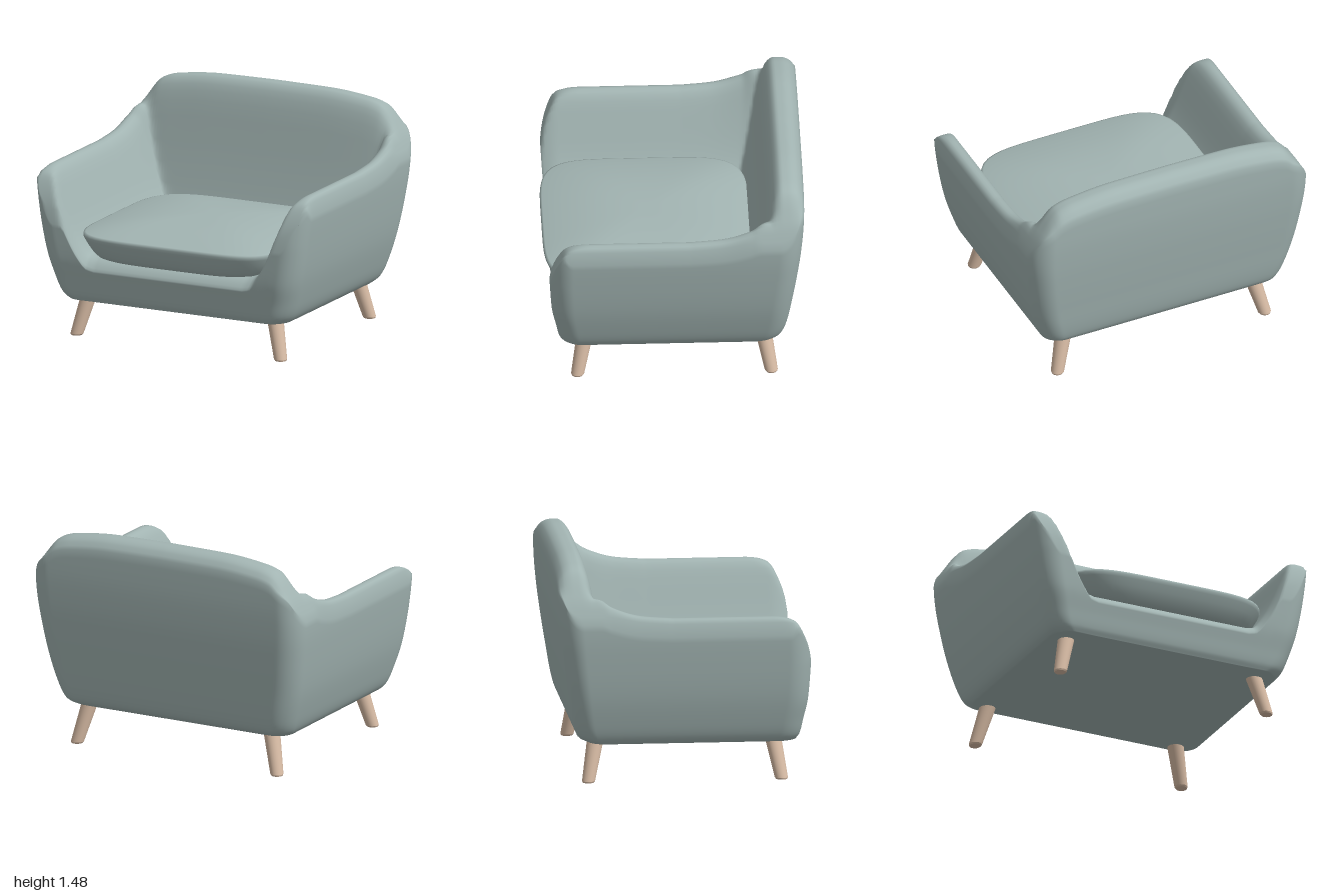
import * as THREE from 'three';
import { mergeVertices } from 'three/addons/utils/BufferGeometryUtils.js';

const clamp = THREE.MathUtils.clamp;

// Smooth curve through [input, value] pairs, constant beyond both ends
function curve(...p) {
  const slope = (i) => {
    if (i === 0 || i === p.length - 1) return 0;
    const a = (p[i][1] - p[i - 1][1]) / (p[i][0] - p[i - 1][0]);
    const b = (p[i + 1][1] - p[i][1]) / (p[i + 1][0] - p[i][0]);
    return a * b <= 0 ? 0 : (2 * a * b) / (a + b);
  };
  const m = p.map((_, i) => slope(i));
  const n = p.length - 1;
  m[0] = (p[1][1] - p[0][1]) / (p[1][0] - p[0][0]);
  m[n] = (p[n][1] - p[n - 1][1]) / (p[n][0] - p[n - 1][0]);
  return (x) => {
    if (x <= p[0][0]) return p[0][1];
    if (x >= p[n][0]) return p[n][1];
    let i = 0;
    while (x > p[i + 1][0]) i++;
    const h = p[i + 1][0] - p[i][0], t = (x - p[i][0]) / h, t2 = t * t, t3 = t2 * t;
    return (2 * t3 - 3 * t2 + 1) * p[i][1] + (t3 - 2 * t2 + t) * h * m[i]
      + (3 * t2 - 2 * t3) * p[i + 1][1] + (t3 - t2) * h * m[i + 1];
  };
}

// Soft maximum and minimum that blend over a width k
const softMax = (a, b, k) => Math.max(a, b) + (Math.max(k - Math.abs(a - b), 0) ** 2) / (4 * k);
const softMin = (a, b, k) => -softMax(-a, -b, k);

// Weld the vertices and give the surface smooth normals
function smooth(geometry) {
  geometry.deleteAttribute('uv');
  geometry.deleteAttribute('normal');
  const g = mergeVertices(geometry, 1e-5);
  g.computeVertexNormals();
  return g;
}

// Shell: a box whose top is pressed into arms, back and seat, and whose sides flare upward
const BASE = 0.26, SEAT = 0.55;
const armAcross = curve([0.6, 0.55], [0.66, 0.565], [0.7, 0.62], [0.735, 0.69], [0.775, 0.8],
  [0.815, 0.93], [0.86, 1.055], [0.89, 1.1], [0.93, 1.117], [0.96, 1.11], [0.985, 1.075], [1, 1.0]);
const armRise = curve([-0.84, 1.4], [-0.6, 1.3], [-0.5, 1.14], [-0.3, 1.03], [-0.1, 1]);
const armFront = curve([0.3, 1.25], [0.45, 1.2], [0.6, 1.14], [0.7, 1.08], [0.77, 0.99], [0.8, 0.92], [0.815, 0.84]);
const backTop = curve([0, 1.485], [0.4, 1.48], [0.7, 1.45], [0.8, 1.42], [0.86, 1.36], [0.92, 1.26], [0.96, 1.18], [1, 1.08]);
const backDepth = curve([-0.84, 0.91], [-0.8, 0.97], [-0.74, 1], [-0.7, 1], [-0.65, 0.95], [-0.61, 0.8],
  [-0.58, 0.5], [-0.55, 0.2], [-0.52, 0], [-0.4, -0.3]);
const flareSide = curve([0.26, 0.8], [0.28, 0.825], [0.32, 0.85], [0.4, 0.88], [0.6, 0.935], [0.8, 0.97], [1, 0.995], [1.08, 1]);
const flareBack = curve([0.26, 0.75], [0.3, 0.83], [0.4, 0.87], [0.6, 0.91], [0.8, 0.946], [1, 0.976], [1.2, 0.995], [1.35, 1]);
const flareFront = curve([0.26, 0.895], [0.3, 0.92], [0.4, 0.945], [0.55, 0.98], [0.8, 1]);

function topHeight(x, z) {
  const ax = Math.abs(x);
  const arm = softMin(SEAT + (armAcross(ax) - SEAT) * armRise(z), armFront(z), 0.05);
  const back = SEAT + (backTop(ax) - SEAT) * backDepth(z);
  const y = softMin(softMax(arm, back, 0.1), backTop(ax) + 0.01, 0.04);
  return y - 0.07 * clamp((z - 0.7) / 0.115, 0, 1) ** 2;
}

function shellGeometry() {
  const g = new THREE.BoxGeometry(2, 1, 2, 100, 28, 110);
  const pos = g.attributes.position;
  const hx = 1, hz = 0.8275, r = 0.15;
  for (let i = 0; i < pos.count; i++) {
    // round the corners of the plan
    let x = pos.getX(i) * hx, z = pos.getZ(i) * hz;
    const cx = clamp(x, r - hx, hx - r), cz = clamp(z, r - hz, hz - r);
    const dx = (x - cx) / r, dz = (z - cz) / r;
    x = cx + r * dx * Math.sqrt(1 - dz * dz / 2);
    z = cz + r * dz * Math.sqrt(1 - dx * dx / 2) - 0.0125;
    // raise, then flare
    const v = clamp(pos.getY(i) + 0.5, 0, 1) ** 1.4;
    const y = BASE + (topHeight(x, z) - BASE) * v;
    pos.setXYZ(i, x * flareSide(y), y, z * (z < 0 ? flareBack(y) : flareFront(y)));
  }
  return smooth(g);
}

// Seat cushion: a crowned lathe squared off to a soft rectangle
function cushionGeometry() {
  const profile = [[0, 0.53], [0.5, 0.53], [0.84, 0.535], [0.88, 0.55], [0.92, 0.58], [0.96, 0.63], [0.99, 0.675], [1, 0.695]];
  for (const k of [0.995, 0.98, 0.95, 0.9, 0.8, 0.65, 0.5, 0.35, 0.2, 0.1, 0]) {
    profile.push([k, 0.71 + 0.085 * (1 - k ** 2.5)]);
  }
  const g = new THREE.LatheGeometry(profile.map(([k, y]) => new THREE.Vector2(k, y)), 96);
  const pos = g.attributes.position;
  for (let i = 0; i < pos.count; i++) {
    const x = pos.getX(i), z = pos.getZ(i), k = Math.hypot(x, z);
    const s = k > 1e-6 ? k / (Math.abs(x) ** 5 + Math.abs(z) ** 5) ** 0.2 : 0;
    pos.setX(i, x * s * 0.715);
    pos.setZ(i, z * s * 0.678 + 0.159);
  }
  return smooth(g);
}

// Leg: a tapered round peg, sheared so its foot stays flat
function legGeometry() {
  const shear = new THREE.Matrix4().makeShear(0, 0, -0.25, -0.19, 0, 0);
  const peg = new THREE.CylinderGeometry(0.056, 0.043, 0.3, 24).translate(0, 0.16, 0);
  const foot = new THREE.CylinderGeometry(0.043, 0.037, 0.01, 24).translate(0, 0.005, 0);
  return [peg.applyMatrix4(shear), foot.applyMatrix4(shear)];
}

export function createModel() {
  const fabric = new THREE.MeshStandardMaterial({ color: 0xa2b4b2 });
  fabric.name = 'greyGreenFabric';
  const wood = new THREE.MeshStandardMaterial({ color: 0xd9bda6 });
  wood.name = 'paleWood';

  const chair = new THREE.Group();
  chair.name = 'armchair';
  const add = (parent, name, geometry, material) => {
    const mesh = new THREE.Mesh(geometry, material);
    mesh.name = name;
    parent.add(mesh);
  };
  add(chair, 'shell', shellGeometry(), fabric);
  add(chair, 'seatCushion', cushionGeometry(), fabric);

  // Four legs, splayed outward
  for (const sx of [1, -1]) {
    for (const sz of [1, -1]) {
      const leg = new THREE.Group();
      leg.name = (sz > 0 ? 'front' : 'back') + (sx > 0 ? 'Left' : 'Right') + 'Leg';
      const [peg, foot] = legGeometry();
      add(leg, 'peg', peg, wood);
      add(leg, 'foot', foot, wood);
      leg.position.set(sx * 0.745, 0, sz * 0.63);
      leg.scale.set(sx, 1, sz);
      chair.add(leg);
    }
  }
  return chair;
}
